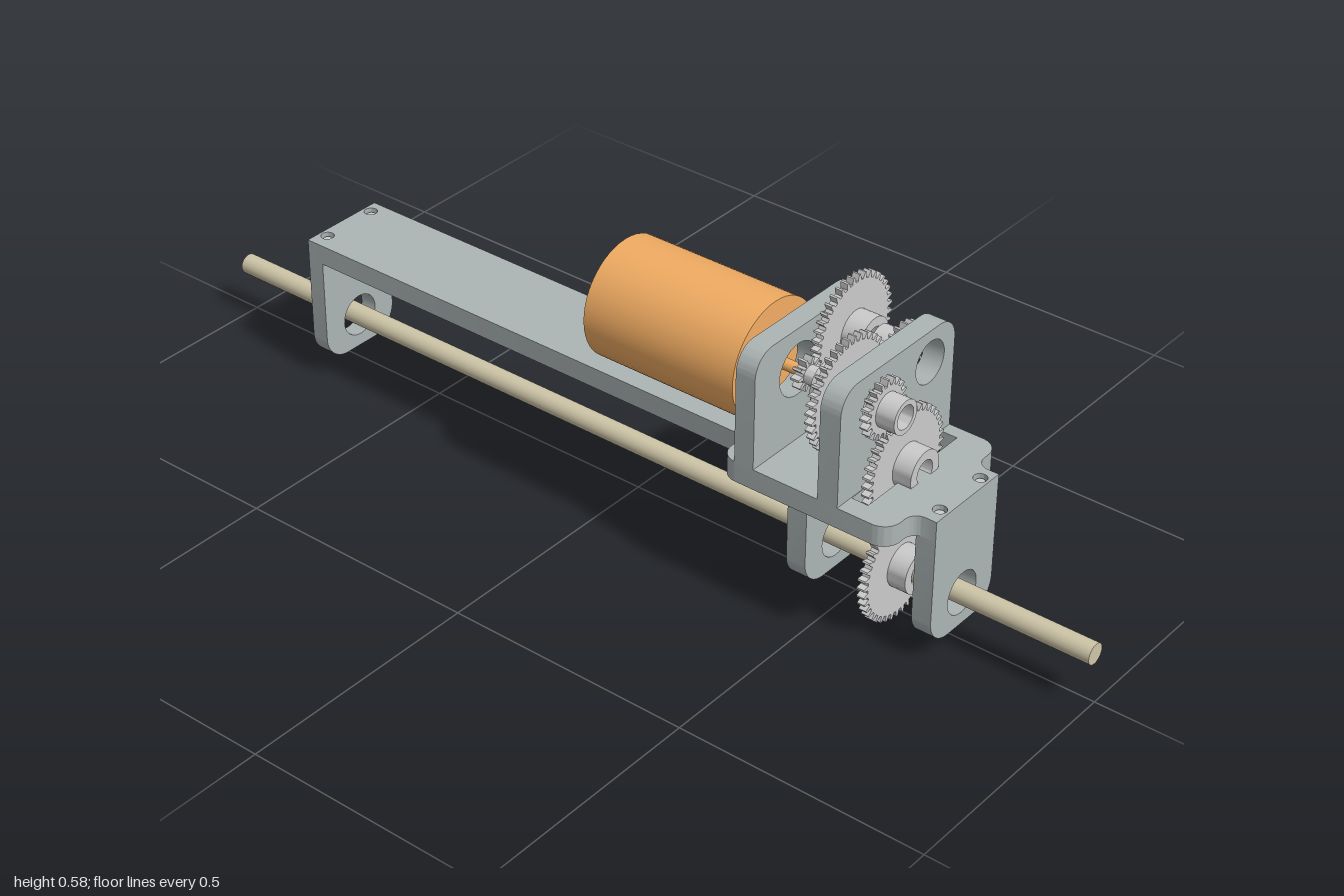
import * as THREE from 'three';
import { toCreasedNormals } from 'three/addons/utils/BufferGeometryUtils.js';

const mat = (color) => new THREE.MeshStandardMaterial({ color });

// Closed outline from [u, v, cornerRadius] points, right-angled corners rounded
function outline(pts) {
  const s = new THREE.Shape();
  const n = pts.length;
  pts.forEach(([x, y, r], i) => {
    const toward = ([px, py], d) => {
      const l = Math.hypot(px - x, py - y);
      return [x + ((px - x) / l) * d, y + ((py - y) / l) * d];
    };
    const prev = pts[(i + n - 1) % n], next = pts[(i + 1) % n];
    const a = toward(prev, r), b = toward(next, r);
    if (i === 0) s.moveTo(...a); else s.lineTo(...a);
    if (r > 0) s.bezierCurveTo(...toward(prev, r * 0.448), ...toward(next, r * 0.448), ...b);
  });
  s.closePath();
  return s;
}

function hole(shape, u, v, r) {
  shape.holes.push(new THREE.Path().absarc(u, v, r, 0, Math.PI * 2, true));
  return shape;
}

function extrude(shape, depth) {
  return toCreasedNormals(
    new THREE.ExtrudeGeometry(shape, { depth, bevelEnabled: false, curveSegments: 16 }), 0.5);
}

// Slab lying across x; its shape is drawn in (-z, y)
function slabX(name, shape, x0, x1, material) {
  const m = new THREE.Mesh(extrude(shape, x1 - x0), material);
  m.name = name;
  m.rotation.y = Math.PI / 2;
  m.position.x = x0;
  return m;
}

function rodX(name, r, x0, x1, y, z, material) {
  const m = new THREE.Mesh(new THREE.CylinderGeometry(r, r, x1 - x0, 48), material);
  m.name = name;
  m.rotation.z = Math.PI / 2;
  m.position.set((x0 + x1) / 2, y, z);
  return m;
}

// Spur gear outline with tapered teeth
function gearShape(outer, teeth, bore, phase) {
  const root = outer - 0.012, step = (Math.PI * 2) / teeth;
  const pts = [];
  for (let i = 0; i < teeth; i++) {
    for (const [t, r] of [[-0.3, root], [-0.22, outer - 0.006], [-0.11, outer],
      [0.11, outer], [0.22, outer - 0.006], [0.3, root]]) {
      const a = phase + (i + t) * step;
      pts.push(new THREE.Vector2(Math.cos(a) * r, Math.sin(a) * r));
    }
  }
  return hole(new THREE.Shape(pts), 0, 0, bore);
}

// Gear wheel with a bored hub on one side
function gear({ name, x0, x1, hub0, hub1, y, z, r, teeth, hubR, bore = 0.023, phase = 0 }, material) {
  const g = new THREE.Group();
  g.name = name;
  g.add(slabX('toothedWheel', gearShape(r, teeth, bore, phase), x0, x1, material));
  const ring = hole(new THREE.Shape().absarc(0, 0, hubR, 0, Math.PI * 2), 0, 0, bore);
  g.add(slabX('hub', ring, hub0, hub1, material));
  g.position.set(0, y, z);
  return g;
}

export function createModel() {
  const model = new THREE.Group();
  const frameMat = mat(0xadb5b5), gearMat = mat(0xcccccc);
  const motorMat = mat(0xf2ad63), shaftMat = mat(0xcfc6a8);
  const TOP = 0.308, BOTTOM = 0.267, SHAFT_Y = 0.11, MID = 0.0125;

  // Base plate: long strip widening under the gear train, drawn in (x, -z)
  const plate = outline([
    [-0.73, -0.105, 0], [0.325, -0.105, 0.025], [0.325, -0.177, 0.035], [0.683, -0.177, 0.035],
    [0.683, -0.105, 0.025], [0.73, -0.105, 0], [0.73, 0.079, 0], [0.683, 0.079, 0.025],
    [0.683, 0.152, 0.035], [0.325, 0.152, 0.035], [0.325, 0.079, 0.025], [-0.73, 0.079, 0],
  ]);
  plate.holes.push(outline([[0.578, -0.137, 0], [0.578, 0.125, 0], [0.612, 0.125, 0], [0.612, -0.137, 0]]));
  hole(plate, -0.09, 0.057, 0.012);
  hole(plate, 0.085, 0.057, 0.012);
  const screwSpots = [];
  for (const x of [-0.712, 0.712]) for (const z of [-0.05, 0.07]) screwSpots.push([x, z]);
  screwSpots.forEach(([x, z]) => hole(plate, x, -z, 0.013));
  const base = new THREE.Mesh(extrude(plate, TOP - BOTTOM), frameMat);
  base.name = 'basePlate';
  base.rotation.x = -Math.PI / 2;
  base.position.y = BOTTOM;
  model.add(base);

  // Screws sunk into the ends of the plate
  for (const [x, z] of screwSpots) {
    const screw = new THREE.Mesh(new THREE.CylinderGeometry(0.009, 0.009, 0.034, 16), gearMat);
    screw.name = 'screw';
    screw.position.set(x, BOTTOM + 0.017, z);
    model.add(screw);
  }

  // Hanging legs with clearance holes for the output shaft
  for (const [name, x0, x1] of [['farLeg', -0.73, -0.694], ['middleLeg', 0.422, 0.463], ['endLeg', 0.69, 0.73]]) {
    const s = outline([[-0.105, 0.042, 0.055], [0.079, 0.042, 0.055], [0.079, BOTTOM, 0], [-0.105, BOTTOM, 0]]);
    model.add(slabX(name, hole(s, -MID, SHAFT_Y, 0.043), x0, x1, frameMat));
  }

  // Upright plates carrying motor and gears
  const upright = () => hole(
    outline([[-0.177, TOP, 0], [0.152, TOP, 0], [0.152, 0.536, 0.047], [-0.177, 0.536, 0.047]]),
    0.08, 0.472, 0.042);
  model.add(slabX('motorMount', hole(upright(), -0.056, 0.453, 0.052), 0.358, 0.399, frameMat));
  model.add(slabX('gearMount', hole(upright(), -0.08, 0.468, 0.034), 0.535, 0.577, frameMat));

  // Motor and its shaft
  model.add(rodX('motor', 0.116, 0.015, 0.345, 0.45, 0.053, motorMat));
  model.add(rodX('motorShaft', 0.011, 0.345, 0.435, 0.45, 0.053, motorMat));

  // Output shaft
  model.add(rodX('outputShaft', 0.0205, -1, 1, SHAFT_Y, MID, shaftMat));

  // Gear train, from motor pinion to output gear
  const big = { r: 0.11, teeth: 40, hubR: 0.042 };
  const small = { r: 0.057, teeth: 20, hubR: 0.033 };
  const upper = Math.atan2(0.146, -0.0675);
  const gears = [
    { name: 'motorPinion', x0: 0.404, x1: 0.422, hub0: 0.422, hub1: 0.442, y: 0.45, z: 0.053,
      r: 0.032, teeth: 10, hubR: 0.018, bore: 0.011 },
    { ...big, name: 'firstWheel', x0: 0.404, x1: 0.419, hub0: 0.419, hub1: 0.46, y: 0.472, z: -0.08, phase: Math.PI / 40 },
    { ...small, name: 'firstPinion', x0: 0.512, x1: 0.527, hub0: 0.472, hub1: 0.512, y: 0.472, z: -0.08 },
    { ...big, name: 'secondWheel', x0: 0.512, x1: 0.527, hub0: 0.472, hub1: 0.512, y: 0.468, z: 0.08, phase: Math.PI / 40 },
    { ...small, name: 'secondPinion', x0: 0.586, x1: 0.602, hub0: 0.602, hub1: 0.64, y: 0.468, z: 0.08,
      phase: upper + Math.PI / 20 },
    { ...big, name: 'idlerWheel', x0: 0.586, x1: 0.602, hub0: 0.602, hub1: 0.64, y: 0.322, z: MID, phase: upper },
    { ...big, name: 'outputWheel', x0: 0.586, x1: 0.602, hub0: 0.602, hub1: 0.64, y: SHAFT_Y, z: MID,
      phase: Math.PI / 2 + upper },
  ];
  gears.forEach((g) => model.add(gear(g, gearMat)));

  return model;
}
